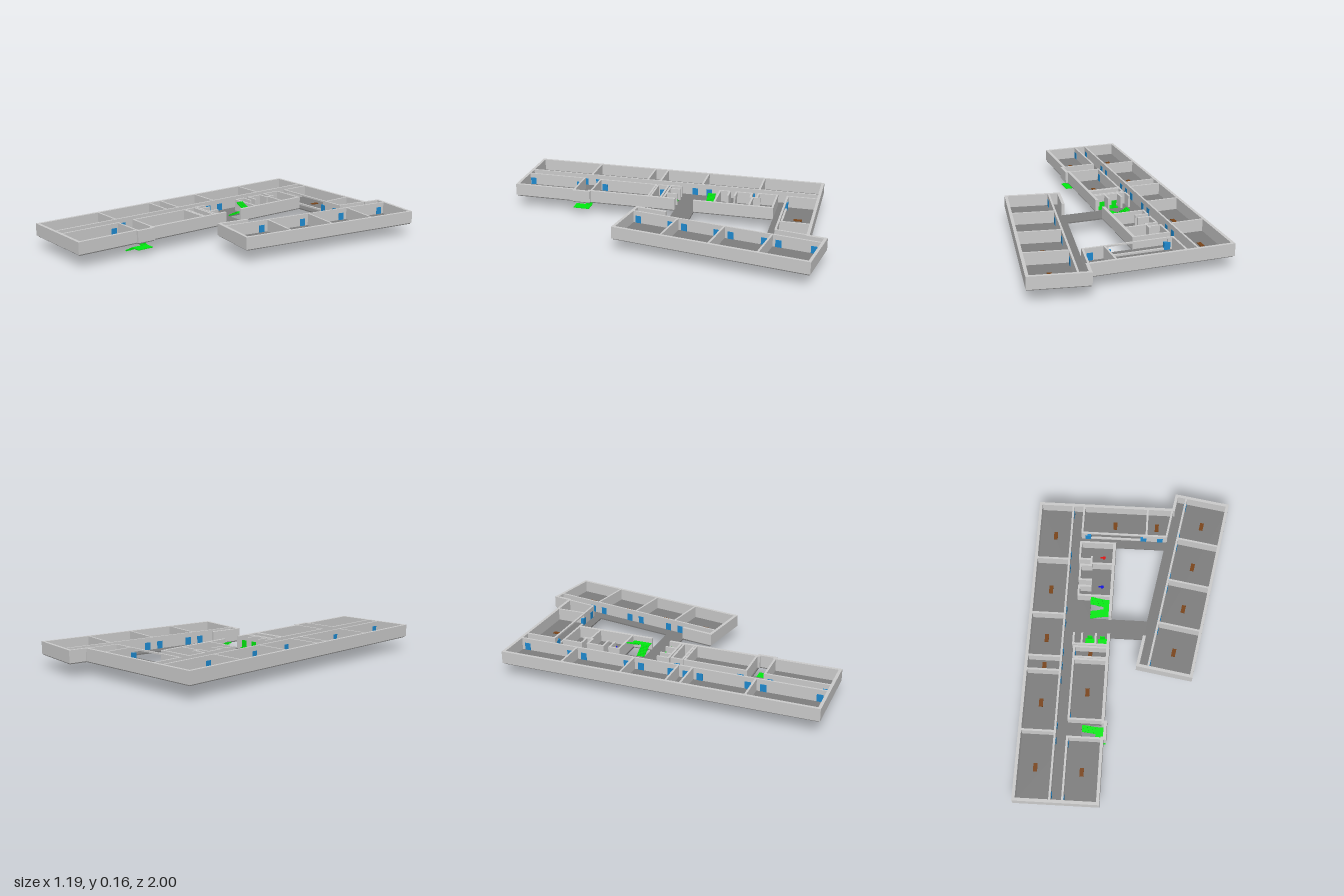
import * as THREE from 'three';

const FLOOR = 0.083, TOP = 0.155, SLAB = 0.008;
const mat = (color) => new THREE.MeshStandardMaterial({ color, flatShading: true });
const grey = mat(0xcccccc), darkGrey = mat(0x7e7e7e), green = mat(0x00ec10), blue = mat(0x1e8ad0);
const brown = mat(0x7a4418), red = mat(0xe01010), navy = mat(0x1010e0);

function box(parent, name, material, x, y, z, w, h, d) {
  const mesh = new THREE.Mesh(new THREE.BoxGeometry(w, h, d), material);
  mesh.name = name;
  mesh.position.set(x, y, z);
  parent.add(mesh);
  return mesh;
}

// Straight wall between two plan points along x or z
function wall(parent, name, x0, z0, x1, z1, t = 0.012, y0 = FLOOR - 0.001, y1 = TOP) {
  return box(parent, name, grey, (x0 + x1) / 2, (y0 + y1) / 2, (z0 + z1) / 2,
    Math.abs(x1 - x0) + t, y1 - y0, Math.abs(z1 - z0) + t);
}

const door = (parent, x, z, alongX = false) =>
  box(parent, 'door', blue, x, FLOOR + 0.022, z, alongX ? 0.036 : 0.016, 0.044, alongX ? 0.016 : 0.036);

const plate = (parent, x, z) =>
  box(parent, 'roomMarker', brown, x, FLOOR + 0.002, z, 0.024, 0.004, 0.05);

const path = (points, Type = THREE.Path) => new Type(points.map(([x, z]) => new THREE.Vector2(x, z)));
const rect = (x0, z0, x1, z1) => path([[x0, z0], [x1, z0], [x1, z1], [x0, z1]]);

// Half-turn stair: two stepped flights joined by a landing at half height
function stair(parent, base, zLow, zHigh, w, xEnd) {
  const g = new THREE.Group();
  g.name = 'stair';
  const rise = 0.038, xa = -0.232, xb = -0.153, n = 8;
  const run = (xb - xa) / n, step = rise / n;
  for (let i = 0; i < n; i++) {
    const x = xa + (i + 0.5) * run, y = (i + 0.5) * step;
    box(g, 'lowerStep', green, x, base + y, zLow, run, step, w);
    box(g, 'upperStep', green, x, base + 2 * rise - y, zHigh, run, step, w);
  }
  box(g, 'stairLanding', green, (xb + xEnd) / 2, base + rise, (zLow + zHigh) / 2,
    xEnd - xb, 0.004, Math.abs(zLow - zHigh) + w);
  parent.add(g);
}

export function createModel() {
  const model = new THREE.Group();
  model.name = 'floorPlan';

  // Dark floor slab, set in slightly from the walls, with courtyard and stairwell openings
  const outline = path([[-0.59, -0.89], [0.243, -0.89], [0.261, -0.993], [0.588, -0.938], [0.396, 0.206],
    [0.066, 0.152], [0.096, -0.034], [-0.104, -0.034], [-0.104, 0.508], [-0.09, 0.508],
    [-0.09, 0.615], [-0.104, 0.615], [-0.104, 0.992], [-0.59, 0.992]], THREE.Shape);
  outline.holes.push(
    path([[-0.104, -0.64], [0.198, -0.64], [0.116, -0.155], [-0.104, -0.155]]),
    rect(-0.233, -0.27, -0.115, -0.155), rect(-0.233, 0.516, -0.1, 0.608));
  const slab = new THREE.ExtrudeGeometry(outline, { depth: SLAB, bevelEnabled: false });
  slab.rotateX(Math.PI / 2).translate(0, FLOOR, 0);
  const floor = new THREE.Mesh(slab, darkGrey);
  floor.name = 'floorSlab';
  model.add(floor);

  // Outer walls of the long block and the back wing
  const L = -0.588, R = -0.109, B = -0.888, F = 0.991, T = 0.018;
  const bump = -0.094, b0 = 0.514, b1 = 0.61;
  [[L, B, L, F], [L, B, 0.235, B], [L, F, R, F], [R, b1, R, F], [R, -0.028, R, b0],
    [R, -0.633, R, -0.16], [bump, b0, bump, b1], [R, b0, bump, b0], [R, b1, bump, b1]]
    .forEach((w) => wall(model, 'outerWall', ...w, T));

  // Rooms along the left side of the long corridor
  const C = -0.383, cuts = [B, -0.515, -0.15, 0.124, 0.21, 0.583, F];
  wall(model, 'corridorWall', C, B, C, F);
  cuts.slice(1, -1).forEach((z) => wall(model, 'partition', L, z, C, z));
  for (let i = 0; i < cuts.length - 1; i++) {
    const a = cuts[i], b = cuts[i + 1];
    plate(model, -0.485, (a + b) / 2);
    door(model, C, a + 0.045);
    if (b - a > 0.2) door(model, C, b - 0.045);
  }

  // Rooms on the other side of the corridor
  const M = -0.31;
  [[0.055, 0.12], [0.134, 0.503], [0.612, F]].forEach(([a, b]) => {
    wall(model, 'corridorWall', M, a, M, b);
    wall(model, 'partition', M, a, R, a);
    wall(model, 'partition', M, b, R, b);
    plate(model, -0.215, (a + b) / 2);
    door(model, M, b - 0.03);
  });
  door(model, M, 0.645);

  // Washrooms with screened entrances
  [[-0.318, -0.635, R, -0.635], [-0.318, -0.635, -0.318, -0.52], [-0.318, -0.52, -0.245, -0.52],
    [-0.245, -0.535, -0.245, -0.48], [-0.31, -0.48, -0.245, -0.48], [-0.31, -0.48, -0.31, -0.382],
    [-0.31, -0.382, -0.24, -0.382], [-0.245, -0.493, R, -0.493], [-0.31, -0.34, -0.24, -0.34],
    [-0.31, -0.34, -0.31, -0.279], [-0.31, -0.279, R, -0.279]]
    .forEach((w) => wall(model, 'washroomWall', ...w));
  [[red, -0.565], [navy, -0.367]].forEach(([m, z]) => {
    box(model, 'washroomMarker', m, -0.177, FLOOR + 0.002, z, 0.035, 0.004, 0.008);
    box(model, 'washroomMarker', m, -0.172, FLOOR + 0.002, z, 0.014, 0.004, 0.018);
  });

  // Lift shafts
  wall(model, 'liftWall', -0.318, 0.037, R, 0.037);
  [-0.318, -0.268, -0.186].forEach((x) => wall(model, 'liftWall', x, -0.028, x, 0.037));
  [-0.223, -0.146].forEach((x) => {
    box(model, 'liftFloor', green, x, FLOOR + 0.002, 0, 0.055, 0.004, 0.048);
    box(model, 'liftDoor', green, x, FLOOR + 0.025, -0.022, 0.03, 0.05, 0.004);
  });

  // Stairs: one rising, one descending
  stair(model, FLOOR + 0.002, -0.178, -0.242, 0.048, -0.115);
  stair(model, 0, 0.596, 0.537, 0.042, -0.09);

  // Back wing rooms, the larger with a wide opening to its corridor
  const Z = -0.7;
  wall(model, 'partition', -0.315, B, -0.315, Z);
  wall(model, 'partition', 0.085, B, 0.085, Z);
  wall(model, 'windowSill', -0.315, Z, 0.085, Z, 0.012, FLOOR - 0.001, 0.094);
  wall(model, 'windowHead', -0.315, Z, 0.085, Z, 0.012, 0.146);
  wall(model, 'windowPost', -0.315, Z, -0.29, Z);
  wall(model, 'corridorWall', 0.07, Z, 0.203, Z);
  [-0.28, 0.067, 0.17].forEach((x) => door(model, x, Z, true));
  [-0.115, 0.147].forEach((x) => plate(model, x, -0.79));

  // Angled wing, laid out straight and then turned
  const wing = new THREE.Group();
  wing.name = 'angledWing';
  wing.position.set(0.256, 0, -1);
  wing.rotation.y = -0.164;
  const W = 0.333, N = 1.167, U = 0.072, E = 0.009;
  [[E, E, W, E], [W, E, W, N], [E, N, W, N], [E, E, E, 0.11], [E, 0.985, E, N]]
    .forEach((w) => wall(wing, 'outerWall', ...w, T));
  wall(wing, 'partition', 0.003, 0.11, 0.003, 0.3);
  wall(wing, 'corridorWall', U, E, U, N);
  const bays = [E, 0.3, 0.586, 0.874, N];
  bays.slice(1, -1).forEach((v) => wall(wing, 'partition', U, v, W, v));
  for (let i = 0; i < 4; i++) {
    plate(wing, 0.2, (bays[i] + bays[i + 1]) / 2);
    door(wing, U, bays[i] + 0.045);
    door(wing, U, bays[i + 1] - 0.04);
  }
  model.add(wing);
  return model;
}
